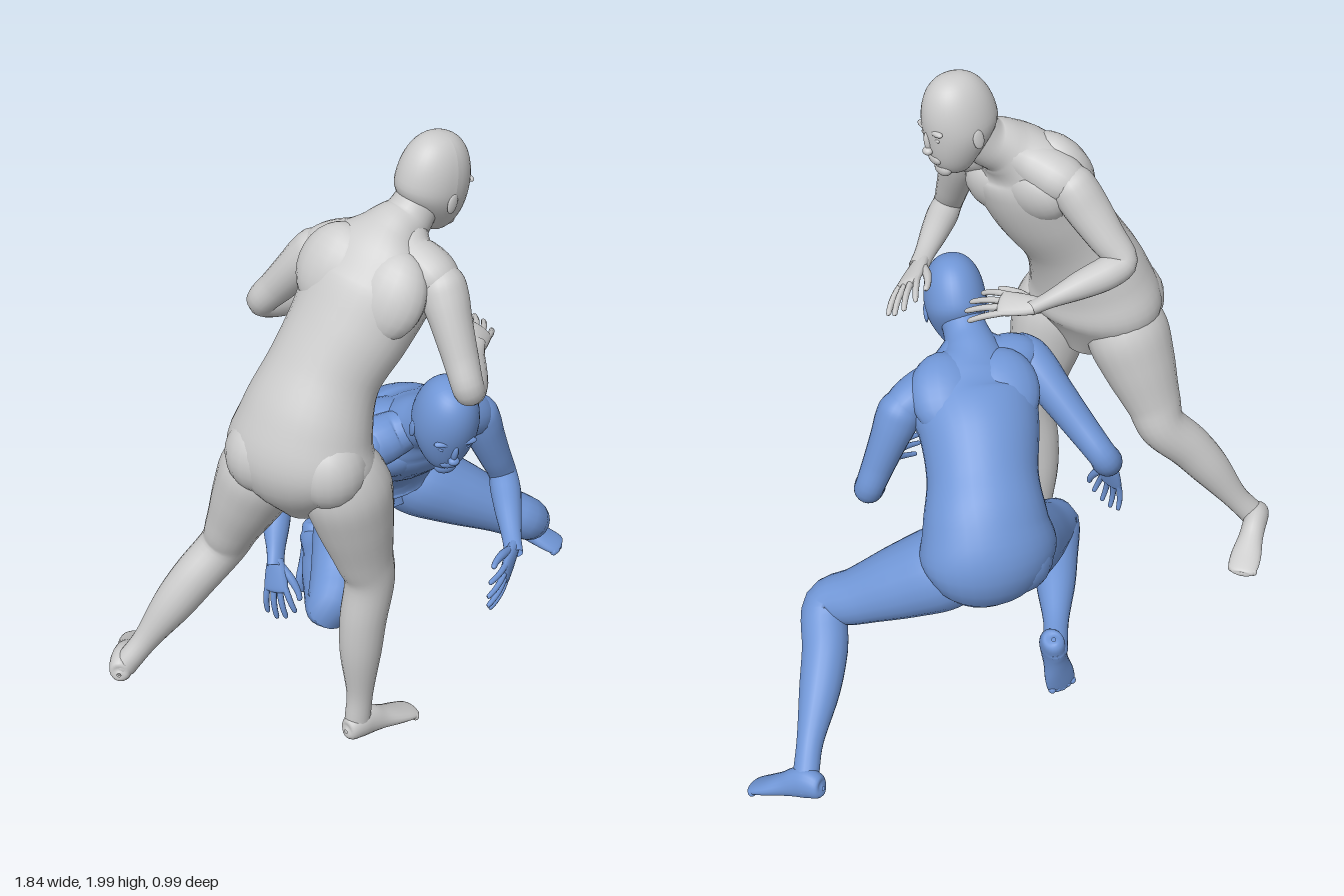
import * as THREE from 'three';

const V = (a) => new THREE.Vector3(...a);
const mix = (a, b, t) => a.clone().lerp(b, t);
const UP = [0, 1, 0];

// Smooth skin through oval stations [centre, halfWidth, halfDepth]; side fixes the width direction
function skin(name, stations, side, mat, radial = 20, steps = 5) {
  const path = new THREE.CatmullRomCurve3(stations.map((s) => s[0]), false, 'catmullrom', 0.5);
  const size = new THREE.CatmullRomCurve3(
    stations.map((s) => new THREE.Vector3(s[1], s[2], 0)), false, 'catmullrom', 0.5);
  const n = (stations.length - 1) * steps;
  const pos = [], idx = [];
  for (let i = 0; i <= n; i++) {
    const c = path.getPoint(i / n), r = size.getPoint(i / n), t = path.getTangent(i / n);
    const s = side.clone().addScaledVector(t, -side.dot(t)).normalize();
    const d = t.clone().cross(s);
    for (let j = 0; j < radial; j++) {
      const a = (j / radial) * Math.PI * 2;
      const p = c.clone()
        .addScaledVector(s, Math.max(r.x, 0.001) * Math.cos(a))
        .addScaledVector(d, Math.max(r.y, 0.001) * Math.sin(a));
      pos.push(p.x, p.y, p.z);
      if (i < n) {
        const k = (j + 1) % radial, A = i * radial, B = A + radial;
        idx.push(A + j, A + k, B + k, A + j, B + k, B + j);
      }
    }
  }
  const g = new THREE.BufferGeometry();
  g.setAttribute('position', new THREE.Float32BufferAttribute(pos, 3));
  g.setIndex(idx);
  g.computeVertexNormals();
  const m = new THREE.Mesh(g, mat);
  m.name = name;
  return m;
}

function blob(name, p, r, mat, basis) {
  const m = new THREE.Mesh(new THREE.SphereGeometry(1, 20, 14), mat);
  m.name = name;
  m.position.copy(p);
  m.scale.set(...r);
  if (basis) m.quaternion.setFromRotationMatrix(basis);
  return m;
}

// Two-bone limb: profile rows are [position 0..2, halfWidth, halfDepth, shift away from the bend]
function limb(name, joints, profile, mat) {
  const [a, b, c] = joints;
  const hinge = b.clone().sub(a).cross(c.clone().sub(b)).normalize();
  const out = b.clone().sub(mix(a, c, 0.5)).normalize();
  const st = profile.map(([t, w, d, off = 0]) => {
    const p = t <= 1 ? a.clone().addScaledVector(b.clone().sub(a), t)
      : b.clone().addScaledVector(c.clone().sub(b), t - 1);
    return [p.addScaledVector(out, off), w, d];
  });
  return skin(name, st, hinge, mat);
}

const ARM = [[-0.21, 0.005, 0.005], [-0.17, 0.035, 0.035], [-0.04, 0.062, 0.062], [0.12, 0.066, 0.067],
  [0.35, 0.058, 0.064], [0.65, 0.05, 0.055], [0.95, 0.044, 0.045], [1.2, 0.047, 0.048], [1.5, 0.041, 0.041],
  [1.85, 0.03, 0.025], [2.08, 0.029, 0.02]];
const LEG = [[-0.28, 0.01, 0.01], [-0.18, 0.085, 0.085], [0.08, 0.12, 0.128], [0.4, 0.107, 0.116],
  [0.75, 0.081, 0.089], [1, 0.07, 0.075], [1.25, 0.067, 0.07, -0.015], [1.5, 0.06, 0.062, -0.014],
  [1.82, 0.039, 0.041], [2, 0.036, 0.04], [2.08, 0.034, 0.038], [2.14, 0.01, 0.01]];

function hand(name, wrist, tip, thumbDir, sign, mat) {
  const g = new THREE.Group();
  g.name = name;
  const f = tip.clone().sub(wrist), L = f.length();
  f.normalize();
  const t = thumbDir.clone().addScaledVector(f, -thumbDir.dot(f)).normalize();
  const palm = f.clone().cross(t).multiplyScalar(sign);
  const at = (u, v, w) => wrist.clone().addScaledVector(f, u * L)
    .addScaledVector(t, v).addScaledVector(palm, w);
  g.add(skin('palm', [[at(-0.05, 0, 0), 0.024, 0.018], [at(0.15, 0, 0), 0.034, 0.018],
    [at(0.4, 0, 0), 0.041, 0.016], [at(0.5, 0, 0), 0.038, 0.012], [at(0.53, 0, 0), 0.004, 0.003]], t, mat, 16, 4));
  [0.92, 1, 0.97, 0.85].forEach((l, i) => {
    const v = (i - 1.5) * 0.02;
    g.add(skin('finger', [[at(0.42, v, 0), 0.01, 0.01], [at(0.65 * l + 0.02, v * 1.3, 0.004), 0.0095, 0.0095],
      [at(0.85 * l, v * 1.5, 0.013), 0.0085, 0.0085], [at(0.98 * l, v * 1.6, 0.024), 0.007, 0.007],
      [at(l, v * 1.6, 0.027), 0.001, 0.001]], t, mat, 8, 3));
  });
  g.add(skin('thumb', [[at(0.1, 0.015, 0.005), 0.014, 0.014], [at(0.3, 0.045, 0.014), 0.013, 0.013],
    [at(0.5, 0.062, 0.022), 0.01, 0.01], [at(0.62, 0.066, 0.024), 0.008, 0.008],
    [at(0.65, 0.067, 0.025), 0.001, 0.001]], palm, mat, 10, 3));
  return g;
}

function foot(name, heel, toe, up, mat) {
  const g = new THREE.Group();
  g.name = name;
  const f = toe.clone().sub(heel);
  const u = up.clone().addScaledVector(f, -up.dot(f) / f.lengthSq()).normalize();
  const side = f.clone().normalize().cross(u);
  const at = (t, h, s = 0) => heel.clone().addScaledVector(f, t).addScaledVector(u, h).addScaledVector(side, s);
  g.add(skin('sole', [[-0.03, 0.006, 0.006, 0.035], [0.01, 0.03, 0.034, 0.036], [0.15, 0.037, 0.048, 0.048],
    [0.3, 0.037, 0.047, 0.047], [0.48, 0.039, 0.036, 0.037], [0.7, 0.047, 0.025, 0.026], [0.88, 0.046, 0.017, 0.018],
    [0.96, 0.034, 0.012, 0.014], [0.98, 0.003, 0.003, 0.014]].map(([t, w, h, y]) => [at(t, y), w, h]), side, mat));
  for (let i = -2; i <= 2; i++) {
    g.add(blob('toe', at(0.94 - 0.02 * Math.abs(i), 0.013, i * 0.017), [0.012, 0.013, 0.013], mat));
  }
  return g;
}

// Head looks along its local +z
function head(center, pitch, yaw, roll, mat) {
  const g = new THREE.Group();
  g.name = 'head';
  const geo = new THREE.SphereGeometry(1, 36, 28), P = geo.attributes.position;
  for (let i = 0; i < P.count; i++) {
    const x = P.getX(i), y = P.getY(i), z = P.getZ(i);
    const k = THREE.MathUtils.smoothstep(-y, 0, 1);
    // fuller dome, narrower jaw, skull tucked in at the nape
    const full = Math.max(1 - y * y, 1e-4) ** -0.09;
    P.setXYZ(i, x * full * 0.094 * (1 - 0.2 * k), y * 0.145,
      z * full * (z < 0 ? 0.115 * (1 - 0.5 * k) : 0.106 * (1 - 0.1 * k)) + 0.026 * k);
  }
  geo.computeVertexNormals();
  const skull = new THREE.Mesh(geo, mat);
  skull.name = 'skull';
  g.add(skull);
  const add = (name, p, r) => g.add(blob(name, V(p), r, mat));
  add('noseBridge', [0, -0.022, 0.103], [0.01, 0.032, 0.013]);
  add('noseTip', [0, -0.047, 0.111], [0.017, 0.012, 0.014]);
  add('mouth', [0, -0.078, 0.094], [0.03, 0.018, 0.013]);
  add('chin', [0, -0.116, 0.074], [0.034, 0.025, 0.022]);
  for (const s of [-1, 1]) {
    add('brow', [s * 0.034, 0.014, 0.09], [0.03, 0.01, 0.012]);
    add('eye', [s * 0.034, -0.008, 0.092], [0.014, 0.007, 0.007]);
    add('ear', [s * 0.092, -0.025, -0.005], [0.007, 0.03, 0.017]);
  }
  g.position.copy(center);
  g.rotation.set(pitch, yaw, roll, 'YXZ');
  return g;
}

function figure(name, color, o) {
  const mat = new THREE.MeshStandardMaterial({ color, side: THREE.DoubleSide });
  const g = new THREE.Group();
  g.name = name;
  const left = V(o.left).normalize();
  const torso = o.torso.map(([x, y, z, w, d]) => [V([x, y, z]), w, d]);
  g.add(skin('torso', torso, left, mat, 32, 6));
  // Chest frame: own left, up the spine, forward
  const up = torso[6][0].clone().sub(torso[4][0]).normalize();
  const x = left.clone().addScaledVector(up, -left.dot(up)).normalize();
  const fwd = x.clone().cross(up);
  const basis = new THREE.Matrix4().makeBasis(x, up, fwd);
  g.add(head(V(o.head), ...o.look, mat));
  for (const key of ['Left', 'Right']) {
    const s = key === 'Left' ? 1 : -1, q = o[key];
    const arm = q.arm.map(V), leg = q.leg.map(V);
    const onTorso = (i, side, out) => torso[i][0].clone().addScaledVector(x, s * side).addScaledVector(fwd, out);
    g.add(blob('pectoral' + key, onTorso(5, 0.075, 0.058), [0.105, 0.095, 0.062], mat, basis));
    g.add(blob('shoulderBlade' + key, onTorso(5, 0.085, -0.05), [0.11, 0.13, 0.072], mat, basis));
    g.add(blob('glute' + key, leg[0].clone().addScaledVector(left, -s * 0.015).add(V(o.glute)),
      [0.108, 0.12, 0.108], mat));
    g.add(skin('shoulder' + key, [[torso[8][0], 0.045, 0.045], [mix(torso[7][0], arm[0], 0.35), 0.065, 0.064],
      [mix(torso[7][0], arm[0], 0.75), 0.073, 0.07], [arm[0], 0.062, 0.06],
      [mix(torso[7][0], arm[0], 1.2), 0.03, 0.03], [mix(torso[7][0], arm[0], 1.24), 0.005, 0.005]], fwd, mat));
    g.add(limb('arm' + key, arm, ARM, mat));
    g.add(hand('hand' + key, arm[2], V(q.tip), V(q.thumb), s, mat));
    g.add(limb('leg' + key, leg, LEG, mat));
    g.add(foot('foot' + key, V(q.heel), V(q.toe), V(q.footUp || UP), mat));
  }
  return g;
}

export function createModel() {
  const model = new THREE.Group();
  model.name = 'wrestlers';
  // Upright wrestler, facing +x
  model.add(figure('standingWrestler', 0xcccccc, {
    left: [-0.46, 0, -0.89], head: [0.0, 1.855, 0.143], look: [0.14, 1.66, 0.1], glute: [-0.045, 0.05, 0.02],
    torso: [[-0.43, 0.97, 0.13, 0.07, 0.07], [-0.445, 1.12, 0.13, 0.213, 0.16], [-0.42, 1.25, 0.13, 0.193, 0.155],
      [-0.355, 1.39, 0.13, 0.163, 0.135], [-0.27, 1.52, 0.14, 0.175, 0.138], [-0.217, 1.62, 0.145, 0.187, 0.13],
      [-0.183, 1.69, 0.145, 0.165, 0.105], [-0.135, 1.74, 0.142, 0.095, 0.083], [-0.08, 1.775, 0.142, 0.07, 0.07],
      [-0.03, 1.84, 0.142, 0.06, 0.065]],
    Left: {
      arm: [[-0.27, 1.665, -0.02], [-0.365, 1.46, -0.175], [-0.09, 1.4, -0.17]],
      tip: [0.06, 1.36, -0.01], thumb: [-0.5, 0.3, 0.5],
      leg: [[-0.49, 1.1, 0.035], [-0.57, 0.76, -0.1], [-0.845, 0.4, -0.21]],
      heel: [-0.895, 0.335, -0.195], toe: [-0.71, 0.305, -0.39],
    },
    Right: {
      arm: [[-0.1, 1.645, 0.315], [-0.11, 1.375, 0.455], [0.08, 1.35, 0.24]],
      tip: [0.24, 1.34, 0.08], thumb: [-0.5, 0.5, -0.5],
      leg: [[-0.375, 1.1, 0.235], [-0.29, 0.71, 0.235], [-0.32, 0.2, 0.21]],
      heel: [-0.365, 0.125, 0.215], toe: [-0.1, 0.095, 0.2],
    },
  }));
  // Crouching wrestler, facing +z
  model.add(figure('crouchingWrestler', 0x7096d6, {
    left: [0.99, -0.13, 0], head: [-0.04, 1.165, 0.26], look: [0.38, -0.33, -0.06], glute: [0, 0.03, -0.065],
    torso: [[0.12, 0.54, -0.22, 0.07, 0.07], [0.12, 0.64, -0.285, 0.203, 0.158], [0.11, 0.75, -0.25, 0.187, 0.155],
      [0.08, 0.84, -0.17, 0.166, 0.143], [0.04, 0.93, -0.065, 0.18, 0.146], [0.02, 0.985, 0.02, 0.195, 0.13],
      [0.0, 1.035, 0.07, 0.165, 0.105], [-0.02, 1.075, 0.11, 0.095, 0.083], [-0.03, 1.105, 0.16, 0.07, 0.07],
      [-0.035, 1.15, 0.23, 0.06, 0.065]],
    Left: {
      arm: [[0.235, 0.985, 0.06], [0.35, 0.715, 0.06], [0.21, 0.625, 0.28]],
      tip: [0.04, 0.57, 0.41], thumb: UP,
      leg: [[0.2, 0.62, -0.25], [0.54, 0.415, -0.045], [0.765, 0.13, -0.385]],
      heel: [0.745, 0.075, -0.46], toe: [0.9, 0.005, -0.27], footUp: [-0.15, 1, 0.1],
    },
    Right: {
      arm: [[-0.19, 1.03, 0.07], [-0.315, 0.79, -0.2], [-0.405, 0.64, -0.08]],
      tip: [-0.44, 0.46, -0.03], thumb: [0.4, 0, 1],
      leg: [[0.03, 0.62, -0.26], [-0.25, 0.43, -0.03], [-0.035, 0.355, -0.43]],
      heel: [-0.01, 0.39, -0.5], toe: [-0.06, 0.15, -0.45], footUp: [0, 0.1, 1],
    },
  }));
  return model;
}
